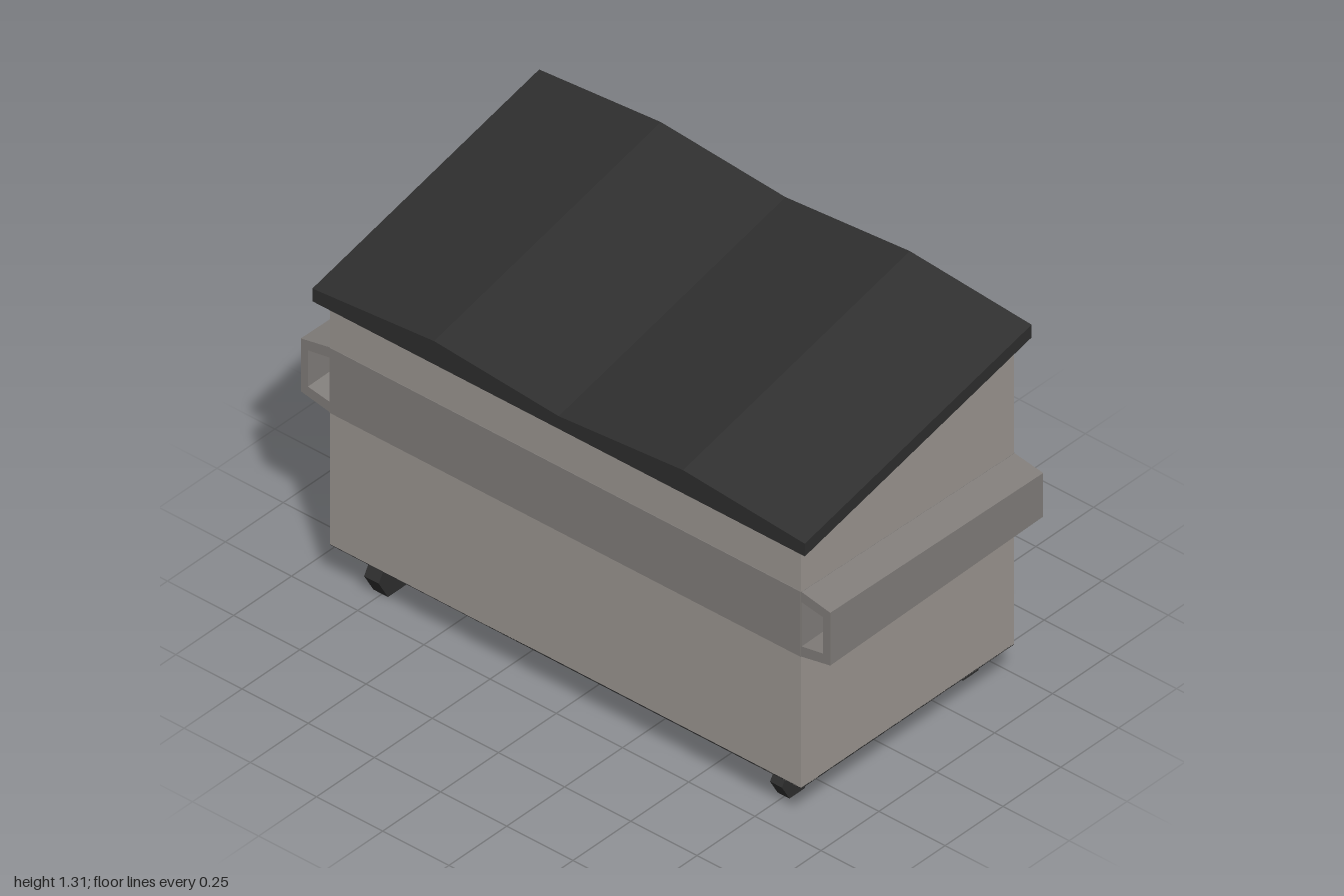
import * as THREE from 'three';

const material = (color) => new THREE.MeshStandardMaterial({ color, flatShading: true, side: THREE.DoubleSide });
const SLOPE = 0.235; // rise of the lid towards +x
const W = 0.46, L = 0.89, FLOOR = 0.145;

const polygon = (points) => new THREE.Shape(points.map(([x, y]) => new THREE.Vector2(x, y)));

// Extrudes an (x, y) outline along z, centred on z
function extrudeZ(points, depth) {
  const g = new THREE.ExtrudeGeometry(polygon(points), { depth, bevelEnabled: false });
  return g.translate(0, 0, -depth / 2);
}

// Extrudes a (z, y) outline along x, centred on x
function extrudeX(points, depth) {
  return extrudeZ(points.map(([z, y]) => [-z, y]), depth).rotateY(Math.PI / 2);
}

// Moves every vertex height by a rule of x and y
function reshapeY(geometry, rule) {
  const p = geometry.attributes.position;
  for (let i = 0; i < p.count; i++) p.setY(i, rule(p.getX(i), p.getY(i)));
  geometry.computeVertexNormals();
  return geometry;
}

export function createModel() {
  const model = new THREE.Group();
  const paint = material(0x9c9691), trim = material(0x827e7b), dark = material(0x2e2e2e);

  function add(name, geometry, mat, parent = model) {
    const mesh = new THREE.Mesh(geometry, mat);
    mesh.name = name;
    parent.add(mesh);
    return mesh;
  }

  // Bin body with a sloping top
  const top = 1.115;
  add('body', extrudeZ([[-W, FLOOR], [W, FLOOR], [W, top + SLOPE * W], [-W, top - SLOPE * W]], 2 * L), paint);
  add('underside', new THREE.BoxGeometry(2 * W, 0.004, 2 * L).translate(0, FLOOR, 0), dark);

  // Lid with two shallow ridges, sheared to follow the slope
  const lid = extrudeX([
    [-0.93, top], [0.93, top], [0.93, 1.16], [0.47, 1.197], [0, 1.16], [-0.47, 1.197], [-0.93, 1.16],
  ], 0.98);
  add('lid', reshapeY(lid, (x, y) => y + SLOPE * x), dark);

  // Painted bands on the long sides
  const bandRight = extrudeX([[-L, 0.63], [0, 0.61], [L, 0.63], [L, 0.82], [0, 0.84], [-L, 0.82]], 0.004);
  add('rightBand', bandRight.translate(W, 0, 0), trim);
  const bandLeft = extrudeX([[-L, 0.61], [L, 0.61], [L, 0.84], [-L, 0.84]], 0.004);
  add('leftBand', bandLeft.translate(-W, 0, 0), trim);

  // Hollow lifting sleeves at both ends, taller towards -x
  for (const s of [1, -1]) {
    const section = [
      [0.888, 0.095], [1, 0.077], [1, -0.077], [0.888, -0.095],
      [0.888, -0.065], [0.973, -0.053], [0.973, 0.053], [0.888, 0.065],
    ].map(([z, y]) => [s * z, y]);
    const sleeve = reshapeY(extrudeX(section, 2 * W), (x, y) => 0.725 + y * (1.105 - 0.105 * x / W));
    add(s > 0 ? 'frontSleeve' : 'backSleeve', sleeve, trim);
    // Sleeve back lying on the end wall
    const back = new THREE.BoxGeometry(2 * W, 0.19, 0.004).translate(0, 0, s * L);
    add('sleeveBack', reshapeY(back, (x, y) => 0.725 + y * (1.105 - 0.105 * x / W)), trim);
  }

  // Castors: hexagonal wheel between two tapered fork plates
  function castor(name, x, z, radius, y) {
    const group = new THREE.Group();
    group.name = name;
    group.position.set(x, 0, z);
    const k = radius / 0.065;
    const wheel = new THREE.CylinderGeometry(radius, radius, 0.045 * k, 6, 1, false, Math.PI / 6);
    add('wheel', wheel.rotateX(Math.PI / 2).translate(0, y, 0), dark, group);
    const fork = [[-0.065 * k, FLOOR], [0.007, FLOOR], [0.008, 0.07], [0, 0.06], [-0.012, 0.068]];
    for (const s of [1, -1]) {
      add('forkPlate', extrudeZ(fork, 0.006).translate(0, 0, s * 0.039 * k), paint, group);
    }
    add('forkTop', new THREE.BoxGeometry(0.07 * k, 0.006, 0.084 * k).translate(-0.029 * k, FLOOR - 0.003, 0), paint, group);
    model.add(group);
  }
  castor('frontLeftCastor', 0.395, 0.76, 0.065, 0.073);
  castor('frontRightCastor', -0.355, 0.76, 0.065, 0.073);
  castor('backLeftCastor', 0.395, -0.755, 0.065, 0.073);
  castor('backRightCastor', -0.355, -0.755, 0.08, 0.07);

  return model;
}
